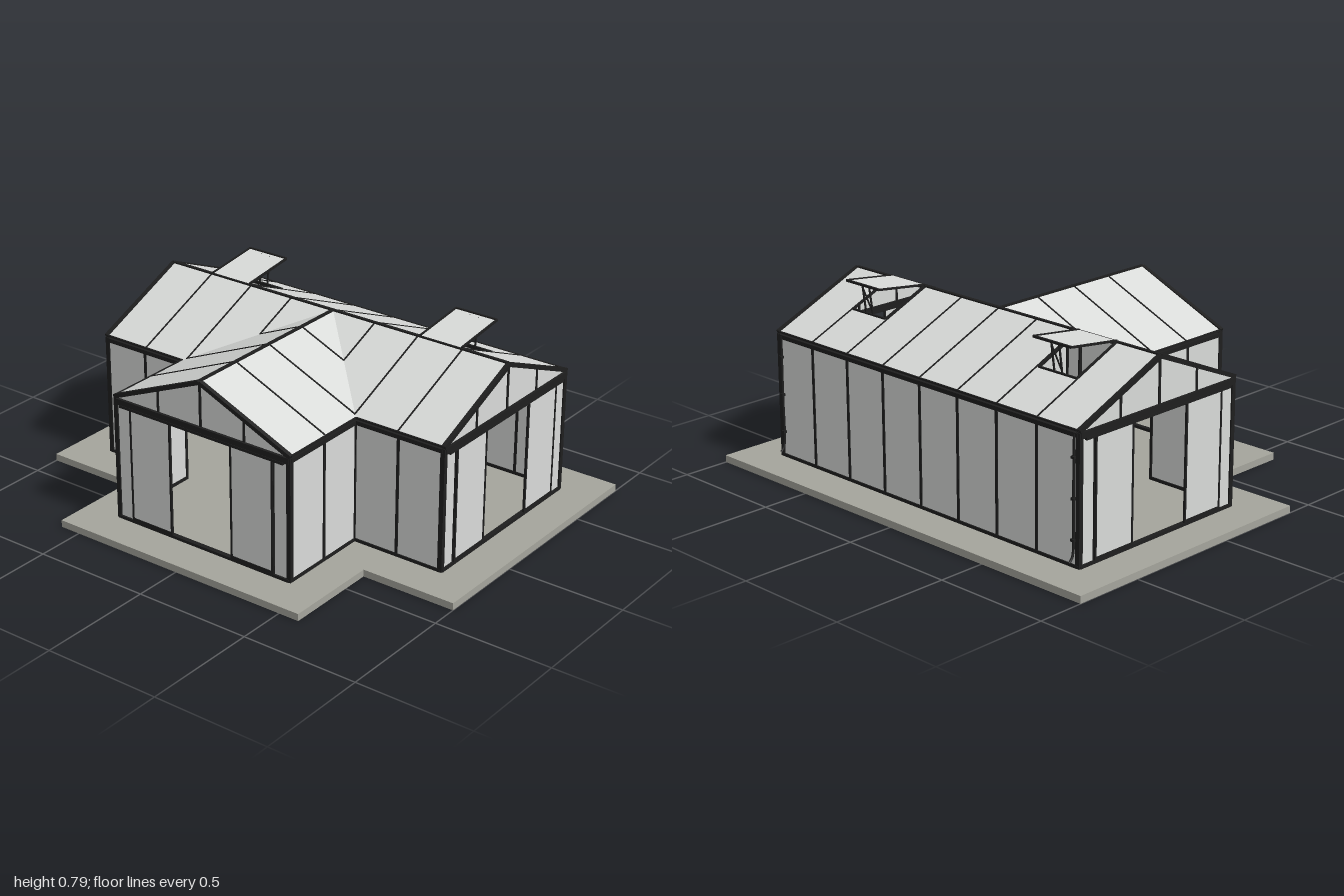
import * as THREE from 'three';

const glass = new THREE.MeshStandardMaterial({ color: 0xd9dbd9, side: THREE.DoubleSide });
glass.name = 'pale glass';
const frame = new THREE.MeshStandardMaterial({ color: 0x1e1e1e });
frame.name = 'black frame';
const stone = new THREE.MeshStandardMaterial({ color: 0xa5a59c });
stone.name = 'grey paving';

const RIDGE = 0.748, SLOPE = 0.43, HALF = 0.425, MID = -0.205;
const EAVE = 0.43, FRONT = 0.627, SIDE = 0.83;
const roofY = (d) => RIDGE - SLOPE * Math.abs(d);

function add(parent, name, geometry, material) {
  const mesh = new THREE.Mesh(geometry, material);
  mesh.name = name;
  parent.add(mesh);
  return mesh;
}

function box(parent, name, material, x0, x1, y0, y1, z0, z1) {
  const m = add(parent, name, new THREE.BoxGeometry(x1 - x0, y1 - y0, z1 - z0), material);
  m.position.set((x0 + x1) / 2, (y0 + y1) / 2, (z0 + z1) / 2);
  return m;
}

// Straight bar from a to b
function bar(parent, name, a, b, w = 0.007, h = w) {
  const p = new THREE.Vector3(...a), q = new THREE.Vector3(...b);
  const m = add(parent, name, new THREE.BoxGeometry(w, h, p.distanceTo(q)), frame);
  m.position.copy(p).add(q).multiplyScalar(0.5);
  m.lookAt(q);
  return m;
}

// Flat plan outline [x, z] lifted onto a slope by height(x, z)
function roofSheet(parent, name, outline, height, holes = []) {
  const toPts = (list) => list.map(([x, z]) => new THREE.Vector2(x, -z));
  const shape = new THREE.Shape(toPts(outline));
  holes.forEach((h) => shape.holes.push(new THREE.Path(toPts(h))));
  const geo = new THREE.ShapeGeometry(shape);
  const pos = geo.attributes.position;
  for (let i = 0; i < pos.count; i++) {
    const x = pos.getX(i), z = -pos.getY(i);
    pos.setXYZ(i, x, height(x, z), z);
  }
  geo.computeVertexNormals();
  return add(parent, name, geo, glass);
}

// Glazed wall of given length along local x, with posts at the given positions
function wall(parent, name, length, posts, x, z, turn) {
  const g = new THREE.Group();
  g.name = name;
  const h = length / 2;
  box(g, 'wallGlass', glass, -h, h, 0.035, 0.545, -0.003, 0.003);
  box(g, 'bottomRail', frame, -h, h, 0.03, 0.043, -0.008, 0.008);
  box(g, 'topRail', frame, -h, h, 0.536, 0.553, -0.009, 0.009);
  posts.forEach((p) => box(g, 'wallPost', frame, p - 0.006, p + 0.006, 0.03, 0.55, -0.007, 0.007));
  g.position.set(x, 0, z);
  g.rotation.y = turn;
  parent.add(g);
}

// Gable end with an open pair of sliding doors, facing local +z
function gable(parent, name, x, z, turn) {
  const g = new THREE.Group();
  g.name = name;
  const tri = new THREE.Shape([[-HALF, 0.55], [HALF, 0.55], [HALF, roofY(HALF)], [0, RIDGE], [-HALF, roofY(HALF)]]
    .map((p) => new THREE.Vector2(...p)));
  add(g, 'gableGlass', new THREE.ShapeGeometry(tri), glass);
  box(g, 'headerRail', frame, -HALF, HALF, 0.531, 0.556, -0.008, 0.012);
  box(g, 'doorTrack', frame, -0.4, 0.4, 0.522, 0.533, 0.0, 0.014);
  box(g, 'doorSill', frame, -HALF, HALF, 0.03, 0.042, -0.008, 0.012);
  bar(g, 'gableCentreBar', [0, 0.55, 0], [0, RIDGE, 0], 0.01);
  for (const s of [-1, 1]) {
    bar(g, 'gableBar', [s * 0.21, 0.55, 0], [s * 0.21, roofY(0.21), 0], 0.009);
    bar(g, 'rake', [0, RIDGE - 0.006, 0.002], [s * EAVE, roofY(EAVE) - 0.003, 0.002], 0.018, 0.017);
    const side = new THREE.Group();
    side.name = 'doorSide';
    const rect = (n, m, a, b, y0, y1, z0, z1) =>
      box(side, n, m, Math.min(s * a, s * b), Math.max(s * a, s * b), y0, y1, z0, z1);
    rect('fixedGlass', glass, 0.35, HALF, 0.035, 0.54, -0.003, 0.003);
    rect('cornerPost', frame, HALF - 0.012, HALF + 0.007, 0.03, 0.555, -0.011, 0.009);
    rect('jamb', frame, 0.345, 0.354, 0.03, 0.53, -0.006, 0.008);
    rect('doorGlass', glass, 0.15, 0.35, 0.045, 0.525, 0.006, 0.01);
    for (const p of [0.15, 0.347]) rect('doorStile', frame, p - 0.004, p + 0.004, 0.042, 0.525, 0.004, 0.013);
    rect('doorBottomRail', frame, 0.15, 0.35, 0.042, 0.054, 0.004, 0.013);
    g.add(side);
  }
  g.position.set(x, 0, z);
  g.rotation.y = turn;
  parent.add(g);
}

// Open roof vent hinged at the ridge, with its stays
function vent(parent, x0, x1) {
  const g = new THREE.Group();
  g.name = 'roofVent';
  const tip = -0.45, rise = (z) => RIDGE + 0.004 + (MID - z) * 0.125;
  roofSheet(g, 'ventGlass', [[x0, MID], [x1, MID], [x1, tip], [x0, tip]], (x, z) => rise(z));
  for (const x of [x0, x1]) {
    bar(g, 'ventSideBar', [x, rise(MID), MID], [x, rise(tip), tip], 0.008);
    bar(g, 'openingSideBar', [x, roofY(0), MID], [x, roofY(0.215), MID - 0.215], 0.008);
  }
  bar(g, 'ventEdge', [x0, rise(tip), tip], [x1, rise(tip), tip], 0.009);
  bar(g, 'openingEdge', [x0, roofY(0.215), MID - 0.215], [x1, roofY(0.215), MID - 0.215], 0.009);
  const mid = (x0 + x1) / 2;
  for (const d of [-0.02, 0.02]) {
    bar(g, 'ventStay', [mid + d, roofY(0.215), -0.417], [mid + d, rise(-0.435), -0.435], 0.006);
  }
  bar(g, 'ventStayBrace', [mid - 0.02, 0.665, -0.418], [mid + 0.02, 0.765, -0.433], 0.005);
  parent.add(g);
}

export function createModel() {
  const model = new THREE.Group();
  model.name = 'greenhouse';

  // Paved T-shaped base
  const plan = new THREE.Shape([[-1, 0.8], [1, 0.8], [1, -0.385], [0.59, -0.385], [0.59, -0.795],
    [-0.59, -0.795], [-0.59, -0.385], [-1, -0.385]].map((p) => new THREE.Vector2(...p)));
  const slab = new THREE.ExtrudeGeometry(plan, { depth: 0.03, bevelEnabled: false });
  slab.rotateX(-Math.PI / 2);
  add(model, 'pavedBase', slab, stone);

  // Walls
  const backPosts = [-4, -3, -2, -1, 0, 1, 2, 3, 4].map((i) => i * 0.2075);
  wall(model, 'backWall', 2 * SIDE, backPosts, 0, MID - HALF, Math.PI);
  gable(model, 'frontGable', 0, FRONT, 0);
  for (const s of [-1, 1]) {
    wall(model, 'frontSideWall', SIDE - HALF, [-0.2, 0, 0.2], s * (SIDE + HALF) / 2, MID + HALF, 0);
    wall(model, 'porchSideWall', FRONT - MID - HALF, [-0.2, 0, 0.2], s * HALF, (FRONT + MID + HALF) / 2, s * Math.PI / 2);
    gable(model, 'sideGable', s * SIDE, MID, s * Math.PI / 2);
  }

  // Roof glass, with two vent openings at the back
  const mainY = (x, z) => roofY(z - MID), porchY = (x) => roofY(x);
  const zBack = MID - EAVE, zFront = MID + EAVE;
  const hole = (a, b) => [[a, MID - 0.004], [b, MID - 0.004], [b, MID - 0.215], [a, MID - 0.215]];
  roofSheet(model, 'backRoof', [[-SIDE, MID], [SIDE, MID], [SIDE, zBack], [-SIDE, zBack]], mainY,
    [hole(-0.618, -0.425), hole(0.425, 0.618)]);
  for (const s of [-1, 1]) {
    roofSheet(model, 'frontRoof', [[0, MID], [s * SIDE, MID], [s * SIDE, zFront], [s * EAVE, zFront]], mainY);
    roofSheet(model, 'porchRoof', [[0, MID], [s * EAVE, zFront], [s * EAVE, FRONT], [0, FRONT]], porchY);
    vent(model, s > 0 ? 0.425 : -0.618, s > 0 ? 0.618 : -0.425);
  }

  // Ridges, eaves and glazing bars
  bar(model, 'mainRidge', [-SIDE, RIDGE - 0.004, MID], [SIDE, RIDGE - 0.004, MID], 0.014);
  bar(model, 'porchRidge', [0, RIDGE - 0.004, MID], [0, RIDGE - 0.004, FRONT], 0.014);
  bar(model, 'backEave', [-SIDE, roofY(EAVE), zBack], [SIDE, roofY(EAVE), zBack], 0.007);
  for (const x of backPosts) {
    bar(model, 'backRafter', [x, RIDGE, MID], [x, roofY(EAVE), zBack], 0.006);
    if (x === 0) continue;
    const d = Math.min(Math.abs(x), EAVE);
    bar(model, 'frontRafter', [x, RIDGE, MID], [x, roofY(d), MID + d], 0.006);
  }
  for (const s of [-1, 1]) {
    bar(model, 'frontEave', [s * EAVE, roofY(EAVE), zFront], [s * SIDE, roofY(EAVE), zFront], 0.007);
    bar(model, 'porchEave', [s * EAVE, roofY(EAVE), zFront], [s * EAVE, roofY(EAVE), FRONT], 0.007);
    for (const z of [0.003, 0.212, 0.415]) {
      const d = Math.min(z - MID, EAVE);
      bar(model, 'porchRafter', [0, RIDGE, z], [s * d, roofY(d), z], 0.006);
    }

    // Rain pipe with clips at the back corner
    const x = s * 0.812;
    const path = new THREE.CatmullRomCurve3([[0.55, -0.638], [0.3, -0.64], [0.09, -0.64], [0.07, -0.646], [0.055, -0.66]]
      .map(([y, z]) => new THREE.Vector3(x, y, z)));
    add(model, 'rainPipe', new THREE.TubeGeometry(path, 20, 0.005, 8), frame);
    for (const y of [0.14, 0.3, 0.46]) box(model, 'pipeClip', frame, x - 0.008, x + 0.008, y - 0.005, y + 0.005, -0.648, -0.632);
  }
  return model;
}
